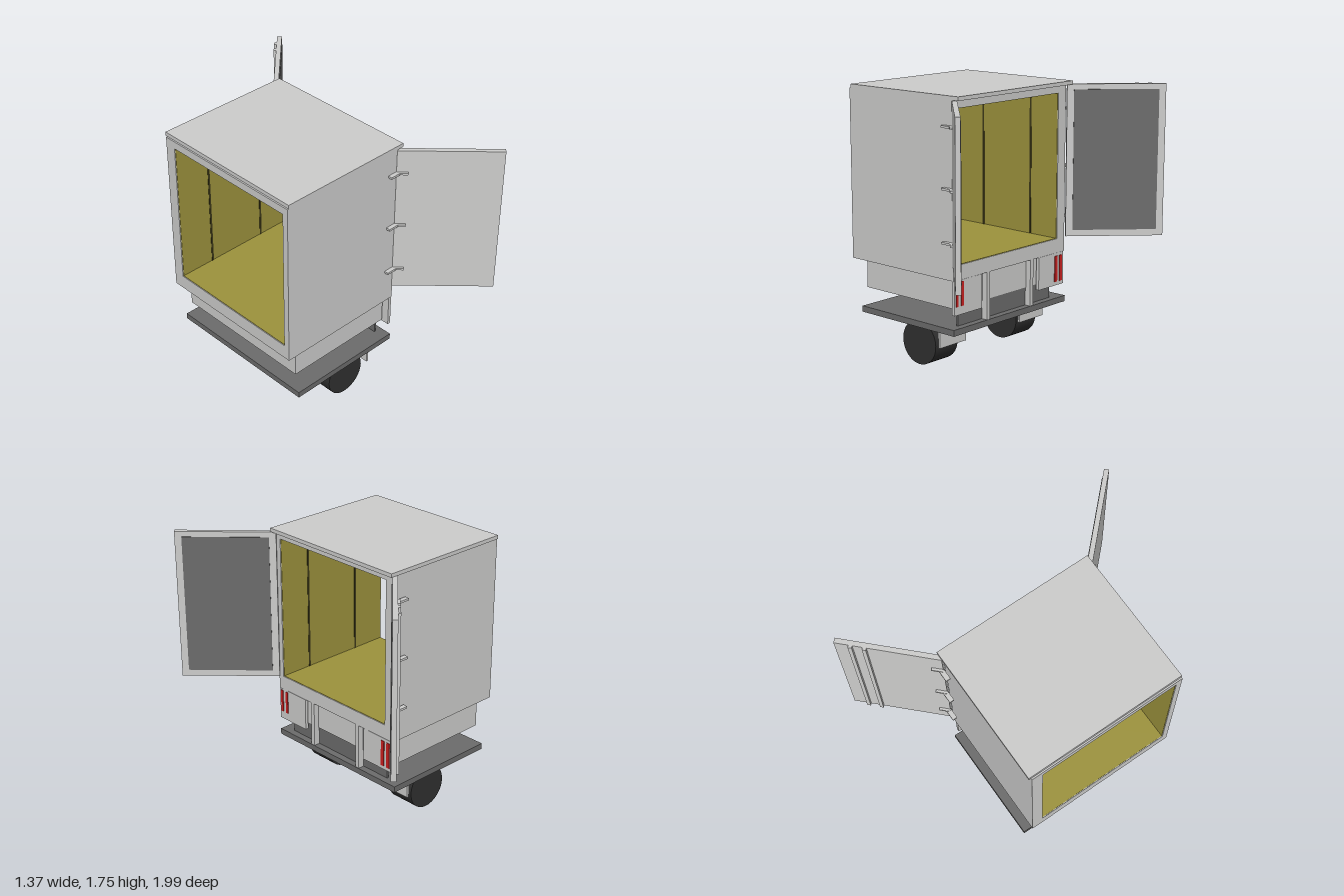
import * as THREE from 'three';

const paint = (name, color, side = THREE.FrontSide) => {
  const m = new THREE.MeshStandardMaterial({ color, side });
  m.name = name;
  return m;
};

export function createModel() {
  const model = new THREE.Group();
  model.name = 'boxTrailer';
  const shellGrey = paint('light grey', 0xcccccb);
  const darkGrey = paint('dark grey', 0x6b6b6b);
  const yellow = paint('lining yellow', 0x9c923c);
  const seam = paint('seam brown', 0x3c3818);
  const black = paint('tyre black', 0x2f2f2f);
  const red = paint('lamp red', 0xcc1f1f);

  const add = (name, geometry, material, parent = model) => {
    const mesh = new THREE.Mesh(geometry, material);
    mesh.name = name;
    parent.add(mesh);
    return mesh;
  };
  // Box given by its extents on each axis
  const box = (name, x0, x1, y0, y1, z0, z1, material, parent) => {
    const mesh = add(name, new THREE.BoxGeometry(x1 - x0, y1 - y0, z1 - z0), material, parent);
    mesh.position.set((x0 + x1) / 2, (y0 + y1) / 2, (z0 + z1) / 2);
    return mesh;
  };

  // Cargo body: a rectangular tube open at both ends (shape x is -z)
  const rect = (P, a, b, c, d) => {
    const p = new P();
    p.moveTo(a, c); p.lineTo(b, c); p.lineTo(b, d); p.lineTo(a, d); p.closePath();
    return p;
  };
  const section = rect(THREE.Shape, -0.54, 0.525, 0.62, 1.73);
  section.holes.push(rect(THREE.Path, -0.5, 0.45, 0.715, 1.68));
  const tube = new THREE.ExtrudeGeometry(section, { depth: 0.9, bevelEnabled: false });
  tube.rotateY(Math.PI / 2).translate(-0.69, 0, 0);
  add('cargoBody', tube, shellGrey);
  box('roof', -0.68, 0.255, 1.73, 1.755, -0.54, 0.54, shellGrey);

  // Interior lining and its vertical seams
  const x0 = -0.685, x1 = 0.205;
  box('floorLining', x0, x1, 0.714, 0.718, -0.45, 0.5, yellow);
  box('ceilingLining', x0, x1, 1.677, 1.681, -0.45, 0.5, yellow);
  box('wallLining', x0, x1, 0.715, 1.68, 0.497, 0.501, yellow);
  box('wallLining', x0, x1, 0.715, 1.68, -0.451, -0.447, yellow);
  for (const x of [-0.44, -0.02]) {
    box('wallSeam', x - 0.007, x + 0.007, 0.718, 1.677, 0.494, 0.497, seam);
    box('wallSeam', x - 0.007, x + 0.007, 0.718, 1.677, -0.447, -0.444, seam);
  }

  // Underbody, crossplate and chassis deck
  box('underbody', -0.6, 0.17, 0.43, 0.62, -0.49, 0.5, shellGrey);
  box('crossPlate', 0.152, 0.164, 0.31, 0.43, -0.43, 0.455, darkGrey);
  box('chassisDeck', -0.61, 0.21, 0.27, 0.31, -0.54, 0.54, darkGrey);
  for (const z of [0.22, -0.2]) box('post', 0.165, 0.207, 0.31, 0.62, z - 0.015, z + 0.015, shellGrey);

  // Lamp panels with red lamps
  box('lampPanel', 0.19, 0.212, 0.4, 0.62, 0.285, 0.535, shellGrey);
  box('lampPanel', 0.19, 0.212, 0.4, 0.62, -0.515, -0.265, shellGrey);
  for (const z of [0.513, 0.467]) box('lamp', 0.212, 0.217, 0.455, 0.61, z - 0.01, z + 0.01, red);
  for (const z of [-0.437, -0.485]) box('lamp', 0.212, 0.217, 0.425, 0.6, z - 0.013, z + 0.013, red);

  // Wheels and mudflaps
  for (const s of [1, -1]) {
    const wheel = add('wheel', new THREE.CylinderGeometry(0.145, 0.145, 0.2, 48), black);
    wheel.rotation.x = Math.PI / 2;
    wheel.position.set(-0.145, 0.147, s * 0.385);
    box('mudflap', 0.037, 0.052, 0.15, 0.27, s * 0.38 - 0.12, s * 0.38 + 0.12, shellGrey);
  }

  // Swung doors: s = 1 on the front side, -1 on the back side
  for (const s of [1, -1]) {
    const lift = s > 0 ? 0 : 0.007;
    const door = new THREE.Group();
    door.name = s > 0 ? 'frontDoor' : 'backDoor';
    door.position.set(0.215, lift, s * 0.53);
    door.rotation.y = -s * Math.PI / 4;
    model.add(door);
    box('doorLeaf', 0, 0.645, 0.715, 1.725, -0.016, 0.016, shellGrey, door);
    const inner = -s * 0.017;
    box('doorPanel', 0.045, 0.6, 0.758, 1.69, inner - 0.003, inner + 0.003, darkGrey, door);
    if (s < 0) {
      for (const x of [0.46, 0.545]) {
        box('lockRod', x - 0.012, x + 0.012, 0.715, 1.725, -0.032, -0.016, shellGrey, door);
      }
    }
    // Hinges: one leaf on the wall, one on the door
    for (const y of [0.855, 1.19, 1.57]) {
      const z = s * 0.552;
      box('wallHinge', 0.135, 0.215, y - 0.007, y + 0.007, z - 0.016, z + 0.016, shellGrey);
      box('doorHinge', 0, 0.07, y - 0.007, y + 0.007, s * 0.024 - 0.008, s * 0.024 + 0.008, shellGrey, door);
    }
  }
  return model;
}
